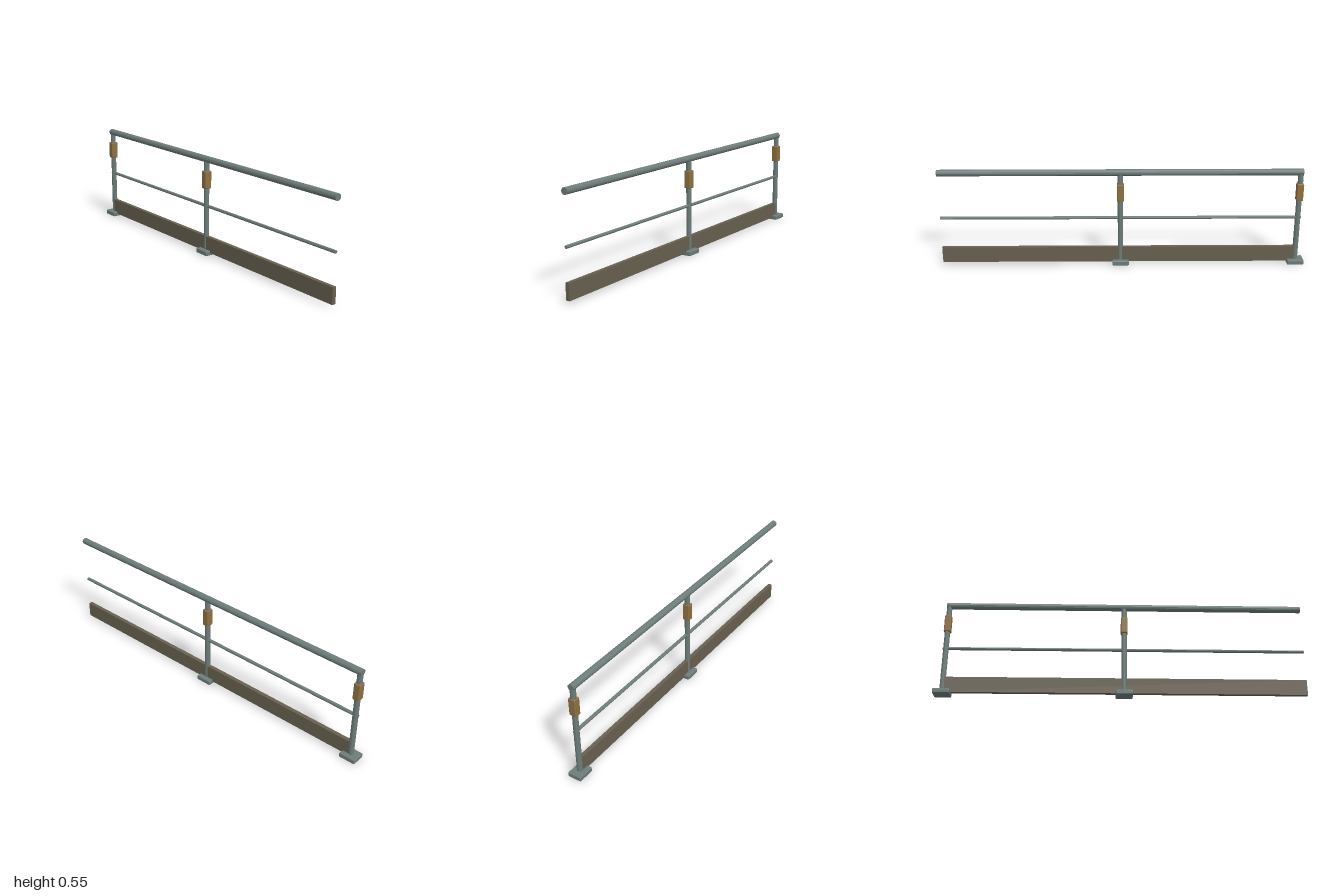
import * as THREE from 'three';
import { RoundedBoxGeometry } from 'three/addons/geometries/RoundedBoxGeometry.js';

function material(name, color, flatShading = true) {
  const m = new THREE.MeshStandardMaterial({ color, flatShading });
  m.name = name;
  return m;
}

export function createModel() {
  const group = new THREE.Group();
  group.name = 'guardRail';
  const steel = material('steel', 0x6d7c7a);
  const ochre = material('ochre', 0x8e7142);
  const board = material('boardBrown', 0x686050);

  const add = (name, geometry, mat, x, y, z) => {
    const mesh = new THREE.Mesh(geometry, mat);
    mesh.name = name;
    mesh.position.set(x, y, z);
    group.add(mesh);
    return mesh;
  };

  // Horizontal bar running along z between two ends
  const bar = (name, radius, sides, y, z0, z1) => {
    const g = new THREE.CylinderGeometry(radius, radius, z1 - z0, sides);
    g.rotateX(Math.PI / 2);
    return add(name, g, steel, 0, y, (z0 + z1) / 2);
  };

  // Rails
  bar('topRail', 0.018, 12, 0.532, -0.967, 1);
  bar('midRail', 0.009, 8, 0.272, -0.97, 1);

  // Toe board
  const z0 = -0.957;
  add('toeBoard', new THREE.BoxGeometry(0.022, 0.087, 1 - z0), board, 0, 0.0575, (1 + z0) / 2);

  // Posts with foot plates and clamps
  for (const z of [0.016, -0.954]) {
    add('post', new THREE.CylinderGeometry(0.015, 0.015, 0.52, 10), steel, 0, 0.27, z);
    add('footPlate', new RoundedBoxGeometry(0.076, 0.026, 0.092, 2, 0.005), steel, 0, 0.013, z);
    add('clamp', new RoundedBoxGeometry(0.04, 0.097, 0.037, 2, 0.005), ochre, 0, 0.419, z);
  }
  return group;
}
